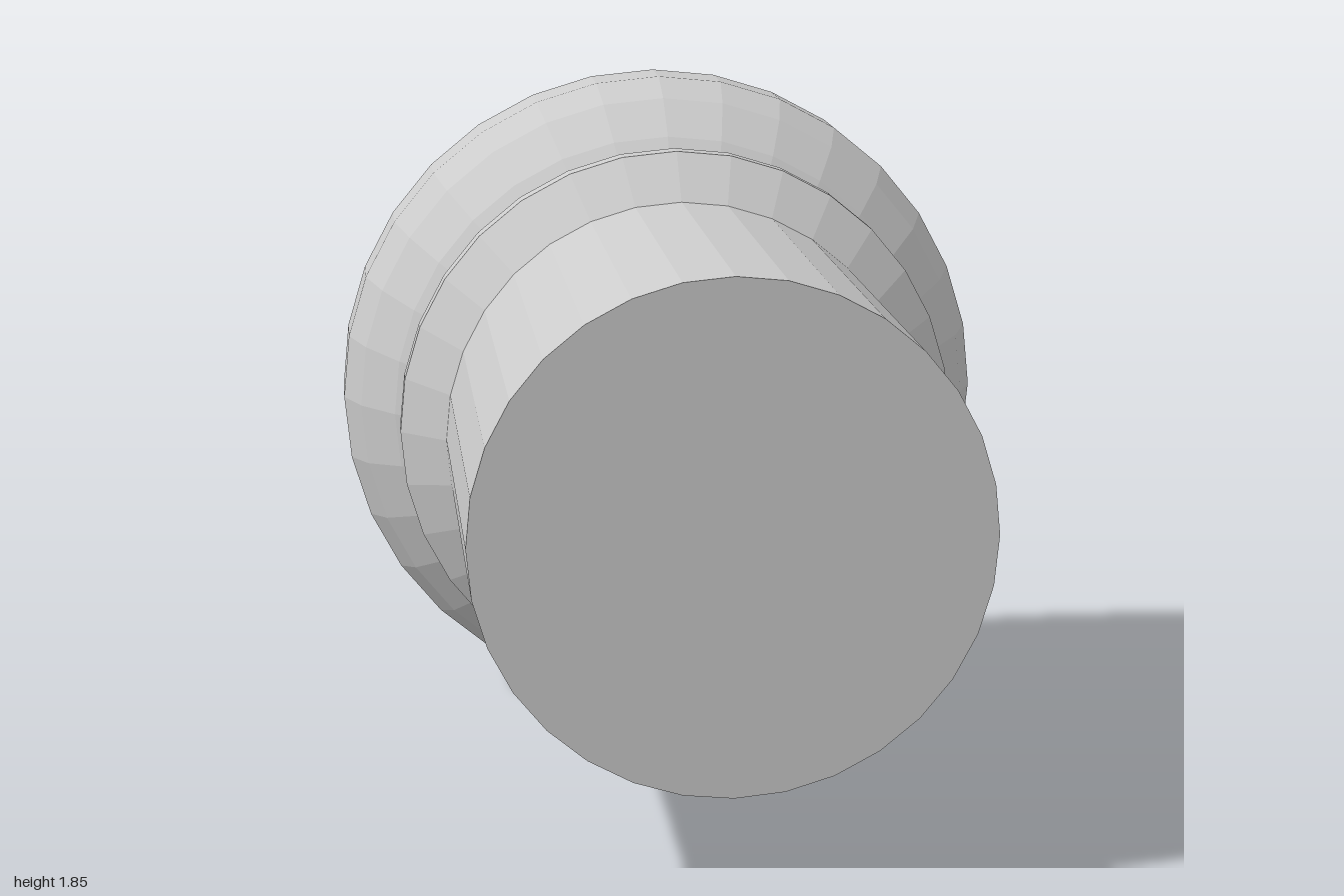
import * as THREE from 'three';

const SIDES = 32;
const AXIS_HEIGHT = 0.925;

export function createModel() {
  const model = new THREE.Group();
  model.name = 'flaredPipe';

  const material = new THREE.MeshStandardMaterial({
    color: 0xcccccc,
    flatShading: true,
    side: THREE.DoubleSide,
  });

  // Turns a [radius, z] profile, listed back to front, around the pipe axis
  function addTurnedPart(name, profile) {
    const points = profile.map(([r, z]) => new THREE.Vector2(r, z));
    const geometry = new THREE.LatheGeometry(points, SIDES);
    geometry.rotateX(Math.PI / 2);
    const mesh = new THREE.Mesh(geometry, material);
    mesh.name = name;
    mesh.position.y = AXIS_HEIGHT;
    model.add(mesh);
  }

  // Open flared socket at the back
  addTurnedPart('socket', [
    [0.925, -1], [0.925, -0.815], [0.877, -0.687], [0.783, -0.557], [0.685, -0.472],
  ]);

  // Raised ring between socket and barrel
  addTurnedPart('collar', [
    [0.685, -0.472], [0.773, -0.387], [0.773, -0.32], [0.65, -0.197],
  ]);

  // Hollow straight barrel
  addTurnedPart('barrel', [[0.65, -0.197], [0.65, 1]]);

  // Flat disc closing the front
  const endCap = new THREE.Mesh(new THREE.CircleGeometry(0.65, SIDES), material);
  endCap.name = 'endCap';
  endCap.position.set(0, AXIS_HEIGHT, 1);
  model.add(endCap);

  return model;
}
